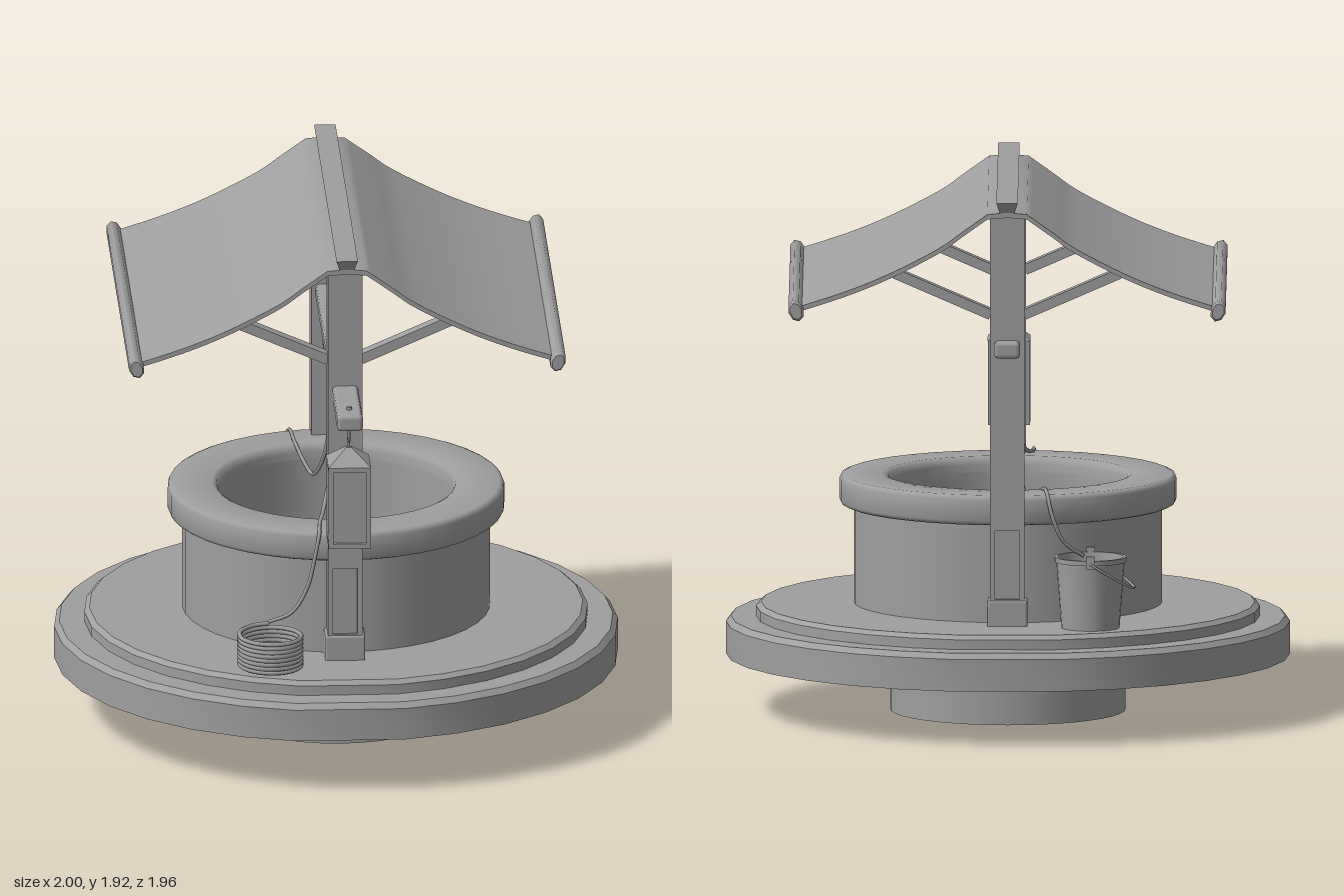
import * as THREE from 'three';
import { toCreasedNormals } from 'three/addons/utils/BufferGeometryUtils.js';
import { RoundedBoxGeometry } from 'three/addons/geometries/RoundedBoxGeometry.js';

const material = new THREE.MeshStandardMaterial({ color: 0x9f9f9f, side: THREE.DoubleSide });
const V = (x, y, z) => new THREE.Vector3(x, y, z);

export function createModel() {
  const model = new THREE.Group();
  model.name = 'waterWell';

  const add = (name, geometry, x = 0, y = 0, z = 0, parent = model) => {
    const mesh = new THREE.Mesh(geometry, material);
    mesh.name = name;
    mesh.position.set(x, y, z);
    parent.add(mesh);
    return mesh;
  };
  const box = (name, w, h, d, x, y, z, parent) =>
    add(name, new THREE.BoxGeometry(w, h, d), x, y, z, parent);
  const lathe = (pts, segments = 40) =>
    new THREE.LatheGeometry(pts.map(p => new THREE.Vector2(...p)), segments);
  const tube = (name, pts, radius, steps, parent) =>
    add(name, new THREE.TubeGeometry(new THREE.CatmullRomCurve3(pts.map(p => V(...p))), steps, radius, 6), 0, 0, 0, parent);
  const group = (name, x, y, z) => {
    const g = new THREE.Group();
    g.name = name;
    g.position.set(x, y, z);
    model.add(g);
    return g;
  };

  // Stepped platform: an open round shell, cut flat at front and back
  const base = lathe([[1, 0.2], [1, 0.315], [0.982, 0.335], [0.893, 0.335], [0.893, 0.37], [0.875, 0.385], [0.54, 0.385]], 32);
  const p = base.attributes.position;
  for (let i = 0; i < p.count; i++) {
    if (Math.floor(i / 7) % 16 === 0) p.setZ(i, p.getZ(i) * Math.cos(Math.PI / 16));
  }
  add('platform', toCreasedNormals(base, 0.6));

  // Shaft, wall and rounded rim
  add('shaft', lathe([[0.417, 0], [0.417, 0.79]]));
  add('wall', lathe([[0.546, 0.385], [0.546, 0.75]]));
  add('rim', toCreasedNormals(lathe([[0.417, 0.74], [0.417, 0.815], [0.424, 0.836], [0.44, 0.845], [0.58, 0.845],
    [0.592, 0.84], [0.597, 0.828], [0.597, 0.754], [0.592, 0.743], [0.58, 0.738], [0.417, 0.74]]), 0.9));

  // Posts with a sunken panel, foot and roof braces
  for (const s of [1, -1]) {
    const z = 0.572 * s;
    const outline = new THREE.Shape([[-0.061, 0.38], [0.061, 0.38], [0.061, 1.862], [-0.061, 1.862]].map(q => new THREE.Vector2(...q)));
    outline.holes.push(new THREE.Path([[-0.043, 0.48], [-0.043, 0.725], [0.043, 0.725], [0.043, 0.48]].map(q => new THREE.Vector2(...q))));
    add('post', new THREE.ExtrudeGeometry(outline, { depth: 0.122, bevelEnabled: false }), 0, 0, z - 0.061);
    box('postPanel', 0.086, 0.245, 0.1, 0, 0.6025, z);
    add('postFoot', new RoundedBoxGeometry(0.142, 0.115, 0.138, 1, 0.008), 0, 0.418, z);
    for (const side of [1, -1]) {
      const brace = box('brace', 0.37, 0.036, 0.05, side * 0.228, 1.567, z);
      brace.rotation.z = side * 0.41;
    }
  }

  // Crossbeam with clipped edges
  add('crossbeam', new RoundedBoxGeometry(0.092, 0.06, 1.665, 1, 0.015), 0, 1.378, 0.143);

  // Sagging roof cloth, edge poles and ridge cap
  const half = new THREE.SplineCurve([[0.07, 1.874], [0.16, 1.81], [0.245, 1.75], [0.42, 1.66], [0.58, 1.595], [0.75, 1.54]]
    .map(q => new THREE.Vector2(...q))).getPoints(20);
  const top = [...half.map(q => new THREE.Vector2(-q.x, q.y)).reverse(), new THREE.Vector2(0, 1.88), ...half];
  const under = top.map(q => new THREE.Vector2(q.x, q.y - 0.018)).reverse();
  add('roofCloth', toCreasedNormals(new THREE.ExtrudeGeometry(new THREE.Shape([...top, ...under]),
    { depth: 1.494, bevelEnabled: false }), 0.9), 0, 0, -0.747);
  for (const s of [1, -1]) {
    const poleGeometry = toCreasedNormals(lathe([[0, -0.785], [0.03, -0.785], [0.039, -0.768], [0.039, 0.768], [0.03, 0.785], [0, 0.785]], 8), 0.9);
    poleGeometry.rotateX(Math.PI / 2).scale(0.7, 1, 1).rotateZ(-0.3 * s);
    add('edgePole', poleGeometry, s * 0.748, 1.532, 0);
  }
  const ridge = new THREE.BoxGeometry(0.076, 0.046, 1.538);
  const rp = ridge.attributes.position;
  for (let i = 0; i < rp.count; i++) {
    if (rp.getY(i) < 0) {
      rp.setX(i, rp.getX(i) * 0.62);
      rp.setZ(i, rp.getZ(i) * 0.965);
    }
  }
  ridge.computeVertexNormals();
  add('ridgeCap', ridge, 0, 1.894, 0);

  // Pulley under the beam
  add('pulleyPlate', new RoundedBoxGeometry(0.09, 0.027, 0.155, 1, 0.01), 0, 1.34, 0);
  const wheel = add('pulleyWheel', toCreasedNormals(lathe([[0, -0.03], [0.063, -0.03], [0.063, -0.02], [0.05, 0],
    [0.063, 0.02], [0.063, 0.03], [0, 0.03]], 24), 0.5), 0, 1.325, 0);
  wheel.rotation.z = Math.PI / 2;

  // Ropes over the rim: one to the coil, one to the bucket
  tube('coilRope', [[0, 1.34, 0.055], [0, 1.28, 0.075], [-0.01, 1.1, 0.137], [-0.03, 0.97, 0.24], [-0.06, 0.88, 0.37],
    [-0.085, 0.851, 0.51], [-0.09, 0.845, 0.595], [-0.105, 0.77, 0.615], [-0.135, 0.65, 0.62],
    [-0.19, 0.56, 0.62], [-0.27, 0.522, 0.605]], 0.007, 70);
  tube('bucketRope', [[0, 1.34, -0.06], [0, 1.18, -0.06], [-0.02, 1.0, -0.09], [-0.04, 0.87, -0.15], [-0.07, 0.79, -0.24],
    [-0.1, 0.81, -0.34], [-0.125, 0.848, -0.43], [-0.14, 0.85, -0.56], [-0.16, 0.77, -0.595],
    [-0.2, 0.68, -0.585], [-0.27, 0.625, -0.55]], 0.007, 70);

  // Coiled rope
  const turns = 8;
  const coil = [];
  for (let i = 0; i <= turns * 16; i++) {
    const a = -Math.PI / 2 + (i / 16) * Math.PI * 2;
    coil.push([-0.27 + 0.11 * Math.cos(a), 0.394 + 0.121 * i / (turns * 16), 0.712 + 0.11 * Math.sin(a)]);
  }
  tube('ropeCoil', coil, 0.0085, turns * 24);

  // Bucket with ears and a dropped handle
  const bucket = group('bucket', -0.295, 0.383, -0.66);
  add('bucketBody', toCreasedNormals(lathe([[0, 0], [0.103, 0], [0.121, 0.238], [0.127, 0.238], [0.128, 0.256],
    [0.117, 0.256], [0.098, 0.015], [0, 0.015]], 24), 0.6), 0, 0, 0, bucket);
  for (const s of [1, -1]) box('bucketEar', 0.03, 0.045, 0.012, 0, 0.25, s * 0.126, bucket);
  const arc = [];
  for (let i = 0; i <= 12; i++) {
    const a = Math.PI * i / 12;
    arc.push([-0.155 * Math.sin(a), 0.245 - 0.1 * Math.sin(a), 0.132 * Math.cos(a)]);
  }
  tube('bucketHandle', arc, 0.005, 30, bucket);

  // Hanging lantern: frame, inset panes, pyramid cap and hook
  const lantern = group('lantern', 0, 0.903, 0.87);
  for (const y of [0.009, 0.293]) box('lanternPlate', 0.15, 0.018, 0.15, 0, y, 0, lantern);
  box('lanternPane', 0.126, 0.27, 0.126, 0, 0.15, 0, lantern);
  for (const x of [1, -1]) for (const z of [1, -1]) box('lanternCorner', 0.017, 0.27, 0.017, x * 0.0665, 0.15, z * 0.0665, lantern);
  const cap = new THREE.CylinderGeometry(0.014, 0.107, 0.055, 4).toNonIndexed();
  cap.computeVertexNormals();
  cap.rotateY(Math.PI / 4);
  add('lanternCap', cap, 0, 0.329, 0, lantern);
  tube('lanternHook', [[0, 0.35, 0], [0, 0.372, 0.004], [0, 0.39, -0.012], [0, 0.38, 0.004], [0, 0.385, 0.02],
    [0, 0.41, 0.029], [0, 0.45, 0.028]], 0.005, 30, lantern);
  add('hookPeg', new THREE.CylinderGeometry(0.01, 0.01, 0.07, 8), 0, 0.48, 0.028, lantern);

  return model;
}
